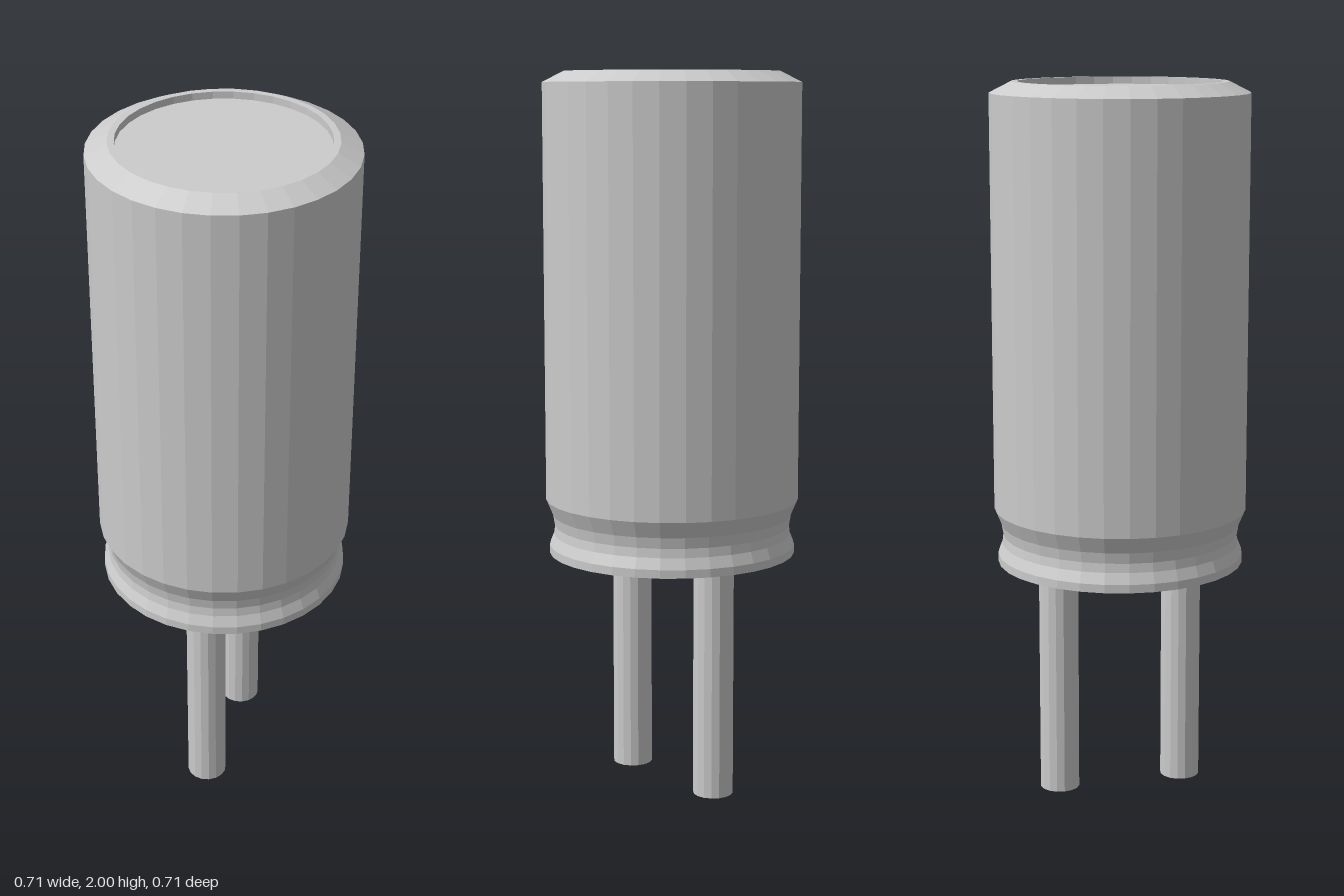
import * as THREE from 'three';

export function createModel() {
  const group = new THREE.Group();
  const material = new THREE.MeshStandardMaterial({ color: 0xcccccc, flatShading: true });

  // Can: flat base, crimped groove, straight wall, bevelled rim and recessed top
  const profile = [
    [0, 0.667], [0.345, 0.667], [0.345, 0.69], [0.333, 0.72], [0.33, 0.745],
    [0.335, 0.775], [0.354, 0.82], [0.354, 1.97], [0.295, 2], [0.277, 2],
    [0.277, 1.98], [0, 1.98],
  ].map(([r, y]) => new THREE.Vector2(r, y));
  const can = new THREE.Mesh(new THREE.LatheGeometry(profile, 32), material);
  can.name = 'can';
  group.add(can);

  // Two straight leads below the base
  const leadGeometry = new THREE.CylinderGeometry(0.056, 0.056, 0.667, 16);
  for (const side of [1, -1]) {
    const lead = new THREE.Mesh(leadGeometry, material);
    lead.name = side > 0 ? 'frontLead' : 'backLead';
    lead.position.set(0, 0.3335, side * 0.18);
    group.add(lead);
  }
  return group;
}
